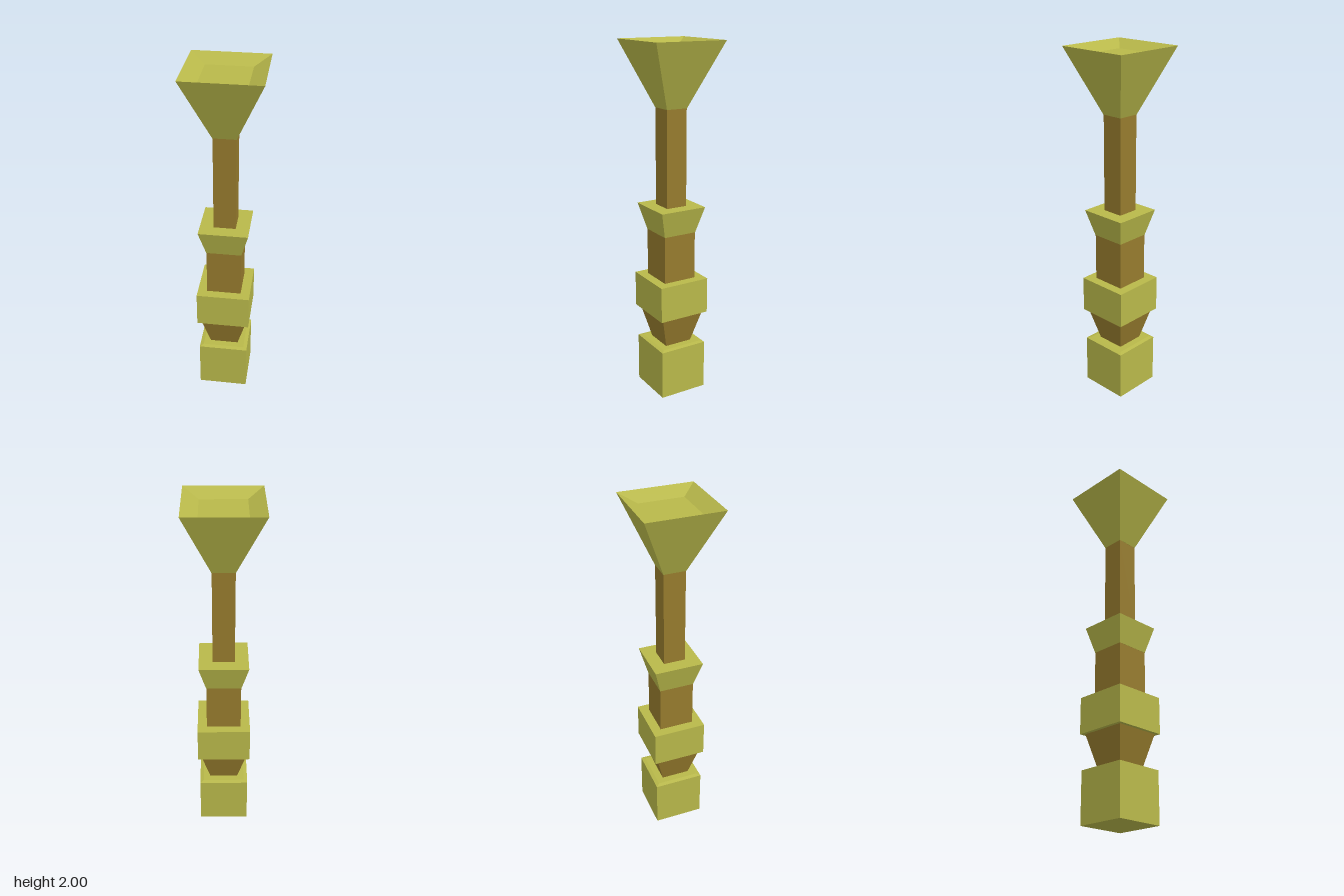
import * as THREE from 'three';

const yellow = new THREE.MeshStandardMaterial({ color: 0xb8b84a, flatShading: true });
const brown = new THREE.MeshStandardMaterial({ color: 0x967b2d, flatShading: true });

// Square-sectioned solid from a profile of [half width, height] points, bottom to top
function squareTurned(name, material, profile) {
  const points = profile.map(([half, y]) => new THREE.Vector2(half * Math.SQRT2, y));
  const turned = new THREE.LatheGeometry(points, 4).rotateY(Math.PI / 4);
  const geometry = turned.toNonIndexed();
  geometry.computeVertexNormals();
  const mesh = new THREE.Mesh(geometry, material);
  mesh.name = name;
  return mesh;
}

// Closed block tapering from one half width to another
const block = (name, material, y0, half0, y1, half1) =>
  squareTurned(name, material, [[0, y0], [half0, y0], [half1, y1], [0, y1]]);

export function createModel() {
  const group = new THREE.Group();
  group.name = 'squareTorch';
  group.add(
    // Base block with a barely raised top
    squareTurned('baseBlock', yellow, [[0, 0], [0.141, 0], [0.141, 0.285], [0.12, 0.29], [0, 0.29]]),
    block('taperedNeck', brown, 0.285, 0.08, 0.48, 0.13),
    block('middleBlock', yellow, 0.48, 0.15, 0.685, 0.15),
    block('lowerShaft', brown, 0.685, 0.097, 0.955, 0.097),
    block('flaredCollar', yellow, 0.955, 0.098, 1.105, 0.137),
    block('upperShaft', brown, 1.105, 0.061, 1.645, 0.061),
    // Flared head with a shallow sloping recess
    squareTurned('flaredHead', yellow, [[0, 1.645], [0.062, 1.645], [0.208, 2], [0.124, 1.96], [0, 1.96]])
  );
  return group;
}
